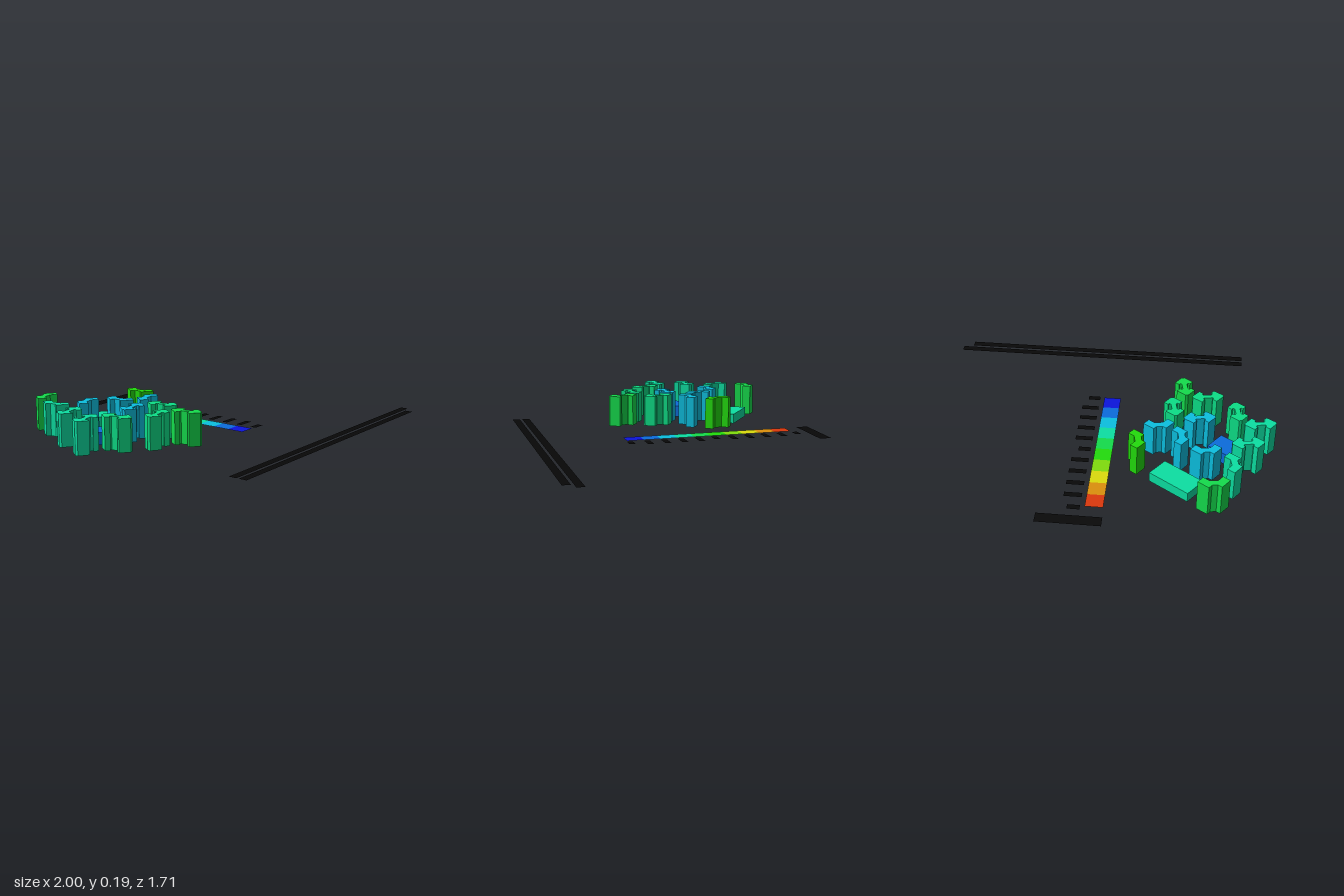
import * as THREE from 'three';

const DEG = Math.PI / 180;
const TOWER_HEIGHT = 0.185;

// Half plans, given along the long axis (u) and across it (v); the other half is mirrored
const butterflyHalf = [[0.016, -0.024], [0.035, -0.043], [0.088, 0.009], [0.053, 0.044], [0.024, 0.014]];
const doubleArrowHalf = [[0.024, -0.015], [0.03, -0.024], [0.022, -0.032], [0.043, -0.053], [0.09, -0.008],
  [0.09, 0.008], [0.043, 0.053], [0.022, 0.032], [0.03, 0.024], [0.024, 0.015]];

function material(color, doubleSided) {
  const m = new THREE.MeshStandardMaterial({ color });
  if (doubleSided) m.side = THREE.DoubleSide;
  return m;
}

// Extrudes a mirrored plan upwards from the ground
function planGeometry(half, height) {
  const mirrored = half.map(([u, v]) => [-u, v]).reverse();
  const outline = [...half, ...mirrored].map(([u, v]) => new THREE.Vector2(u, -v));
  const geometry = new THREE.ExtrudeGeometry(new THREE.Shape(outline), { depth: height, bevelEnabled: false });
  return geometry.rotateX(-Math.PI / 2);
}

export function createModel() {
  const model = new THREE.Group();
  model.name = 'estateMassingModel';

  const add = (parent, name, geometry, mat, x, y, z, turn = 0) => {
    const mesh = new THREE.Mesh(geometry, mat);
    mesh.name = name;
    mesh.position.set(x, y, z);
    mesh.rotation.y = turn * DEG;
    parent.add(mesh);
  };

  // Towers: x, z, turn in degrees, colour
  const towers = new THREE.Group();
  towers.name = 'towers';
  model.add(towers);
  const butterfly = planGeometry(butterflyHalf, TOWER_HEIGHT);
  const doubleArrow = planGeometry(doubleArrowHalf, TOWER_HEIGHT);
  const cyan = 0x0cc0e0, teal = 0x0cdfa2, seaGreen = 0x0cde86, green = 0x14dc4c, leaf = 0x22dc0c;
  [
    [-0.663, -0.657, 10, green],
    [-0.763, -0.48, 100, teal],
    [-0.613, -0.382, 10, cyan],
    [-0.467, -0.27, 100, cyan],
    [-0.34, -0.176, 10, cyan],
    [-0.228, -0.325, 100, leaf],
  ].forEach(([x, z, turn, c]) => add(towers, 'butterflyTower', butterfly, material(c), x, 0, z, turn));
  [
    [-0.842, -0.296, 10, teal],
    [-0.911, -0.112, 10, teal],
    [-0.567, -0.088, 10, cyan],
    [-0.782, -0.008, -80, seaGreen],
    [-0.415, 0.002, -80, seaGreen],
    [-0.607, 0.123, 10, seaGreen],
    [-0.468, 0.212, -80, green],
  ].forEach(([x, z, turn, c]) => add(towers, 'doubleArrowTower', doubleArrow, material(c), x, 0, z, turn));

  // Low blocks between the towers
  const lowBlock = (name, w, h, d, x, z, c) =>
    add(model, name, new THREE.BoxGeometry(w, h, d), material(c), x, h / 2, z, -35.4);
  lowBlock('wideLowBlock', 0.268, 0.058, 0.138, -0.457, -0.481, teal);
  lowBlock('smallLowBlock', 0.184, 0.07, 0.131, -0.733, -0.198, 0x0c6cdc);

  // Flat colour scale, from high at the back to low at the front
  const scale = new THREE.Group();
  scale.name = 'colourScale';
  model.add(scale);
  const flat = (w, d) => new THREE.PlaneGeometry(w, d).rotateX(-Math.PI / 2);
  const step = 0.1016, back = -0.711;
  [0xdc380c, 0xdc900c, 0xdcdc0c, 0x80dc0c, 0x22dc0c, 0x14dc4c, 0x0cdfa2, 0x0cc0e0, 0x0c6cdc, 0x0c14dc]
    .forEach((c, i) => add(scale, 'scaleStep', flat(0.1, step), material(c, true), -0.03, 0, back + (i + 0.5) * step));

  // Plain dark strips marking the heading, the scale ticks and the captions
  const dark = material(0x080808, true);
  add(model, 'headingStrip', flat(0.36, 0.07), dark, 0.095, 0, -0.825);
  for (let i = 0; i <= 10; i++) {
    const wide = i > 0 && i % 5 !== 0 ? 0.1 : 0.07;
    add(scale, 'tickStrip', flat(wide, 0.035), dark, 0.045 + wide / 2, 0, -0.722 + i * step);
  }
  add(model, 'captionStrip', flat(1.815, 0.045), dark, 0.0925, 0, 0.768);
  add(model, 'captionStrip', flat(1.755, 0.045), dark, 0.0625, 0, 0.828);

  return model;
}
